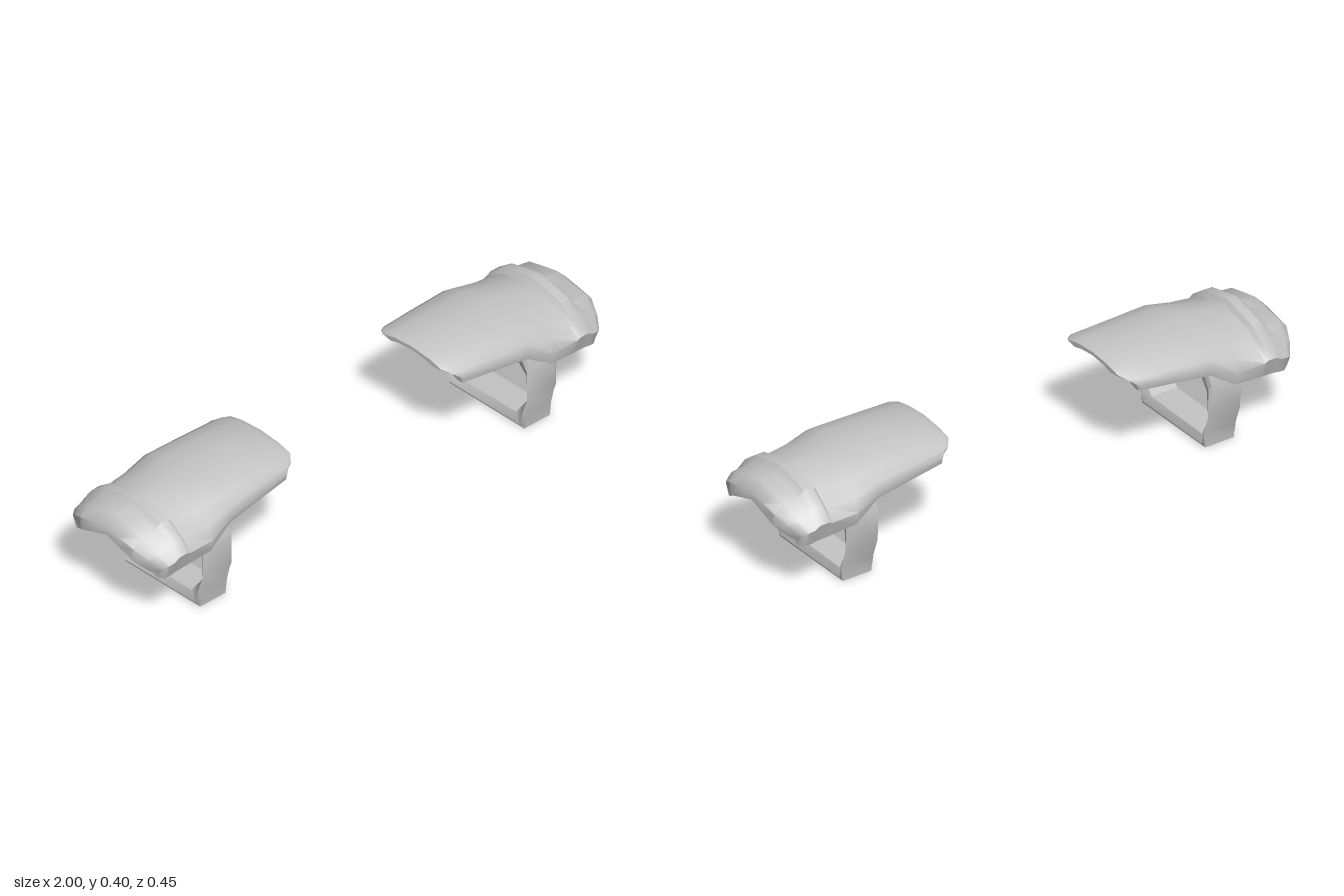
import * as THREE from 'three';
import { toCreasedNormals } from 'three/addons/utils/BufferGeometryUtils.js';

// Normalised half cross-sections of the plate, crown to lower edge: [z, height]
const OUTER_NARROW = [[0, 1], [0.49, 0.89], [0.8, 0.69], [0.96, 0.47], [1, 0.22], [0.97, 0]];
const OUTER_WIDE = [[0, 1], [0.3, 0.915], [0.59, 0.82], [0.84, 0.57], [1, 0.34], [0.92, 0]];
const INNER_NARROW = [[0, 1], [0.4, 0.88], [0.66, 0.68], [0.84, 0.42], [0.96, 0.17], [1, 0]];
const INNER_WIDE = [[0, 1], [0.32, 0.79], [0.64, 0.57], [0.84, 0.3], [0.95, 0.1], [1, 0]];
const LAST = OUTER_WIDE.length - 1;

// Stations along the arm: x, half width, crown y, edge y, thickness, edge pull in x, rib height, blend to wide
const STATIONS = [
  [0.33, 0.172, 0.385, 0.322, 0.012, 0.045, 0, 0],
  [0.36, 0.182, 0.4, 0.308, 0.03, 0.025, 0, 0],
  [0.5, 0.192, 0.403, 0.298, 0.04, 0, 0, 0],
  [0.65, 0.205, 0.404, 0.283, 0.05, 0, 0, 0],
  [0.74, 0.219, 0.394, 0.222, 0.06, 0, 0, 0.5],
  [0.845, 0.222, 0.38, 0.214, 0.065, 0, 0, 1],
  [0.857, 0.22, 0.378, 0.212, 0.065, 0, 0.018, 1],
  [0.892, 0.219, 0.377, 0.21, 0.067, 0, 0.018, 1],
  [0.91, 0.221, 0.374, 0.208, 0.067, 0, 0, 1],
  [0.965, 0.218, 0.368, 0.204, 0.065, -0.03, 0, 1],
  [1, 0.205, 0.33, 0.212, 0.027, -0.045, 0, 1],
];

// Full closed cross-section: outer arc from +z to -z, then inner arc back
function plateSection([x, w, top, edge, t, pull, rib, wide]) {
  const mix = (a, b, i) => a[i].map((v, k) => THREE.MathUtils.lerp(v, b[i][k], wide));
  const point = (k, inside) => {
    const i = Math.abs(k), side = k < 0 ? 1 : -1;
    const px = x + pull * THREE.MathUtils.clamp((i - 2) / 2, 0, 1);
    if (inside) {
      const [z, h] = mix(INNER_NARROW, INNER_WIDE, i);
      return [px, edge + h * (top - t - edge), side * z * (w * 0.94 - 0.012)];
    }
    const [z, h] = mix(OUTER_NARROW, OUTER_WIDE, i);
    const lift = rib * [1, 1, 1, 1, 0.5, 0][i];
    return [px, edge + h * (top - edge) + lift, side * z * (w + lift * 0.3)];
  };
  const ring = [];
  for (let k = -LAST; k <= LAST; k++) ring.push(point(k, false));
  for (let k = LAST; k >= -LAST; k--) ring.push(point(k, true));
  return ring;
}

// Skin a list of closed rings; looped joins the last ring to the first
function skin(rings, looped, extra = []) {
  const n = rings[0].length;
  const index = [...extra];
  for (let r = 0; r < rings.length - (looped ? 0 : 1); r++) {
    for (let i = 0; i < n; i++) {
      const next = ((r + 1) % rings.length) * n, j = (i + 1) % n;
      const a = r * n + i, b = r * n + j;
      index.push(a, next + i, b, b, next + i, next + j);
    }
  }
  const geometry = new THREE.BufferGeometry();
  geometry.setAttribute('position', new THREE.Float32BufferAttribute(rings.flat(2), 3));
  geometry.setIndex(index);
  return toCreasedNormals(geometry, 0.8);
}

function plateGeometry() {
  const rings = STATIONS.map(plateSection);
  const n = rings[0].length;
  // End rims join the outer arc to the inner arc
  const end = (rings.length - 1) * n;
  const rims = [];
  for (let i = 0; i < n / 2 - 1; i++) {
    const j = n - 1 - i;
    rims.push(i, i + 1, j, i + 1, j - 1, j);
    rims.push(end + i, end + j, end + i + 1, end + i + 1, end + j, end + j - 1);
  }
  return skin(rings, false, rims);
}

// Strap loop around the arm: outer z, outer y, inner z, inner y
const STRAP = [
  [0.18, 0, 0.135, 0.04], [0.186, 0.055, 0.155, 0.067], [0.204, 0.13, 0.191, 0.115],
  [0.207, 0.24, 0.184, 0.205], [0.165, 0.32, 0.125, 0.26], [0, 0.365, 0, 0.302],
  [-0.165, 0.32, -0.125, 0.26], [-0.203, 0.24, -0.165, 0.205], [-0.194, 0.13, -0.18, 0.112],
  [-0.172, 0.055, -0.155, 0.067], [-0.165, 0, -0.14, 0.036],
];

function strapGeometry(flip) {
  // Six-sided band section: [x, share of the way from outer to inner]
  const band = [[0.652, 0], [0.763, 0], [0.77, 0.3], [0.757, 1], [0.658, 1], [0.645, 0.3]];
  const rings = STRAP.map(([oz, oy, iz, iy]) => band.map(([x, s]) => [
    x, THREE.MathUtils.lerp(oy, iy, s), flip * THREE.MathUtils.lerp(oz, iz, s),
  ]));
  if (flip < 0) rings.reverse();
  return skin(rings, true);
}

export function createModel() {
  const model = new THREE.Group();
  model.name = 'armGuards';
  const grey = new THREE.MeshStandardMaterial({ color: 0xc4c4c4, side: THREE.DoubleSide });
  grey.name = 'plain grey';

  for (const [name, side] of [['leftGuard', 1], ['rightGuard', -1]]) {
    const guard = new THREE.Group();
    guard.name = name;
    const plate = new THREE.Mesh(plateGeometry(), grey);
    plate.name = 'curvedPlate';
    const strap = new THREE.Mesh(strapGeometry(side), grey);
    strap.name = 'strapLoop';
    guard.add(plate, strap);
    // The right guard is turned about; its strap is flipped so the pair mirrors
    guard.rotation.y = side > 0 ? 0 : Math.PI;
    model.add(guard);
  }
  return model;
}
